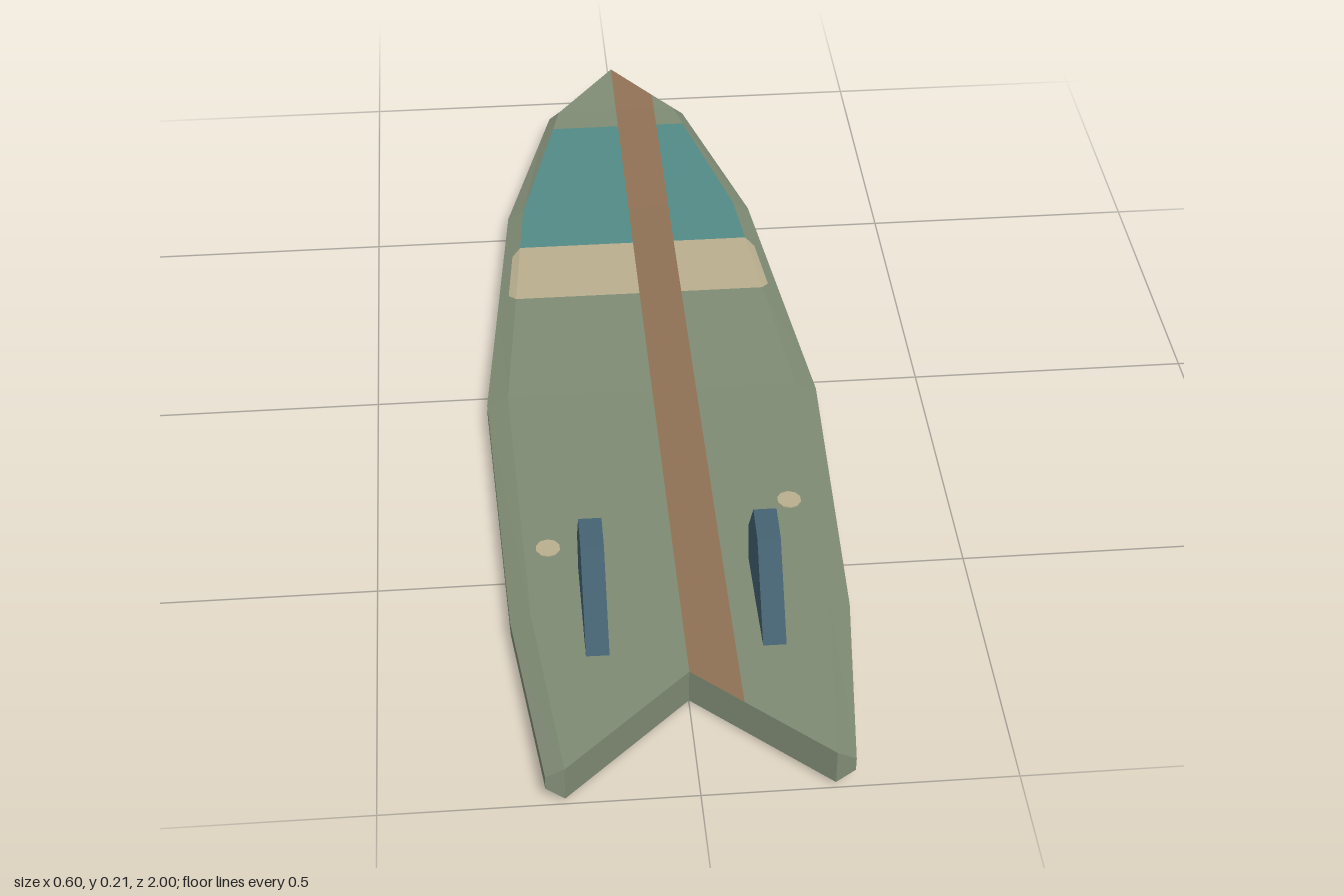
import * as THREE from 'three';

const flat = (name, color) => {
  const m = new THREE.MeshStandardMaterial({ color, flatShading: true, side: THREE.DoubleSide });
  m.name = name;
  return m;
};

// Outline: [z, rail half width, deck half width, rocker height]
const OUTLINE = [
  [-1, 0, 0, 0.016], [-0.85, 0.14, 0.12, 0.008], [-0.5, 0.24, 0.21, 0.002],
  [0.08, 0.3, 0.262, 0], [0.65, 0.28, 0.246, 0.002], [1, 0.24, 0.21, 0.012],
];
// Cross-section stations: [z, how far the paint spills onto the bevel]
const STATIONS = [
  [-1, 0], [-0.9, 0], [-0.85, 0], [-0.79, 0], [-0.5, 0], [-0.38, 0], [-0.36, 0.45],
  [-0.235, 0.45], [-0.215, 0], [0.08, 0], [0.65, 0], [1, 0],
];
const STRIPE = 0.08, NOTCH_Z = 0.8;

function outlineAt(z) {
  const i = Math.max(1, OUTLINE.findIndex((k) => k[0] >= z));
  const a = OUTLINE[i - 1], b = OUTLINE[i];
  const t = (z - a[0]) / (b[0] - a[0]);
  return a.map((v, k) => v + (b[k] - v) * t);
}

// One row of columns across the board, each with a top and a bottom point
function section([z, spill]) {
  const [, w, e, rocker] = outlineAt(z);
  const p = e + (w - e) * spill;
  return [-w, -p, -e, 0, Math.min(STRIPE, e), e, p, w].map((x) => {
    const bevel = w > e ? Math.max(0, (Math.abs(x) - e) / (w - e)) : 0;
    let zz = z, r = rocker;
    if (z === 1) { // swallow tail notch
      const t = Math.min(1, Math.abs(x) / e);
      zz = NOTCH_Z + (1 - NOTCH_Z) * t;
      r = 0.004 + (rocker - 0.004) * t;
    }
    return { top: [x, 0.065 - 0.015 * bevel + r, zz], bottom: [x, 0.025 * bevel + r, zz] };
  });
}

function paintFor(z, column) {
  if (column === 3) return 'stripe';
  const cream = z > -0.38 && z < -0.215;
  if (column === 1 || column === 5) return cream ? 'cream' : 'green';
  if (column === 2 || column === 4) {
    if (cream) return 'cream';
    if (z > -0.79 && z < -0.38) return 'teal';
  }
  return 'green';
}

function buildBoard(materials) {
  const faces = { green: [], teal: [], cream: [], stripe: [] };
  const quad = (paint, a, b, c, d) => faces[paint].push(...a, ...b, ...c, ...a, ...c, ...d);
  const rows = STATIONS.map(section);
  for (let i = 0; i < rows.length - 1; i++) {
    const A = rows[i], B = rows[i + 1];
    const mid = (STATIONS[i][0] + STATIONS[i + 1][0]) / 2;
    // Deck and underside
    for (let j = 0; j < 7; j++) {
      const paint = paintFor(mid, j);
      quad(paint, A[j].top, B[j].top, B[j + 1].top, A[j + 1].top);
      quad(paint, A[j + 1].bottom, B[j + 1].bottom, B[j].bottom, A[j].bottom);
    }
    // Rails
    quad('green', A[0].top, A[0].bottom, B[0].bottom, B[0].top);
    quad('green', B[7].top, B[7].bottom, A[7].bottom, A[7].top);
  }
  // Tail end
  const T = rows[rows.length - 1];
  for (let j = 0; j < 7; j++) quad('green', T[j].top, T[j].bottom, T[j + 1].bottom, T[j + 1].top);

  const names = { green: 'boardBody', teal: 'nosePanel', cream: 'crossBand', stripe: 'longStripe' };
  const board = new THREE.Group();
  board.name = 'board';
  for (const key in faces) {
    const g = new THREE.BufferGeometry();
    g.setAttribute('position', new THREE.Float32BufferAttribute(faces[key], 3));
    g.computeVertexNormals();
    const mesh = new THREE.Mesh(g, materials[key]);
    mesh.name = names[key];
    board.add(mesh);
  }
  return board;
}

export function createModel() {
  const materials = {
    green: flat('sage green', 0x7f8b74),
    teal: flat('teal', 0x528a87),
    cream: flat('cream', 0xb9ae8e),
    stripe: flat('wood brown', 0x8f7154),
    fin: flat('slate blue', 0x43606f),
  };
  const model = new THREE.Group();
  model.name = 'surfboard';
  model.add(buildBoard(materials));

  // Fins: side profile in (z, y), extruded across x
  const profile = [[0.765, 0.055], [0.64, 0.2], [0.58, 0.21], [0.528, 0.13], [0.547, 0.055]];
  const shape = new THREE.Shape(profile.map(([z, y]) => new THREE.Vector2(-z, y)));
  const finGeometry = new THREE.ExtrudeGeometry(shape, { depth: 0.038, bevelEnabled: false });
  finGeometry.translate(0, 0, -0.019).rotateY(Math.PI / 2);
  for (const side of [1, -1]) {
    const fin = new THREE.Mesh(finGeometry, materials.fin);
    fin.name = side > 0 ? 'leftFin' : 'rightFin';
    fin.position.x = side * 0.143;
    model.add(fin);
  }

  // Small painted spots on the deck
  for (const [x, z, r] of [[-0.21, 0.49, 0.021], [0.21, 0.4, 0.021]]) {
    const spot = new THREE.Mesh(new THREE.CylinderGeometry(r, r, 0.004, 10), materials.cream);
    spot.name = 'deckSpot';
    spot.position.set(x, 0.0665, z);
    model.add(spot);
  }
  return model;
}
